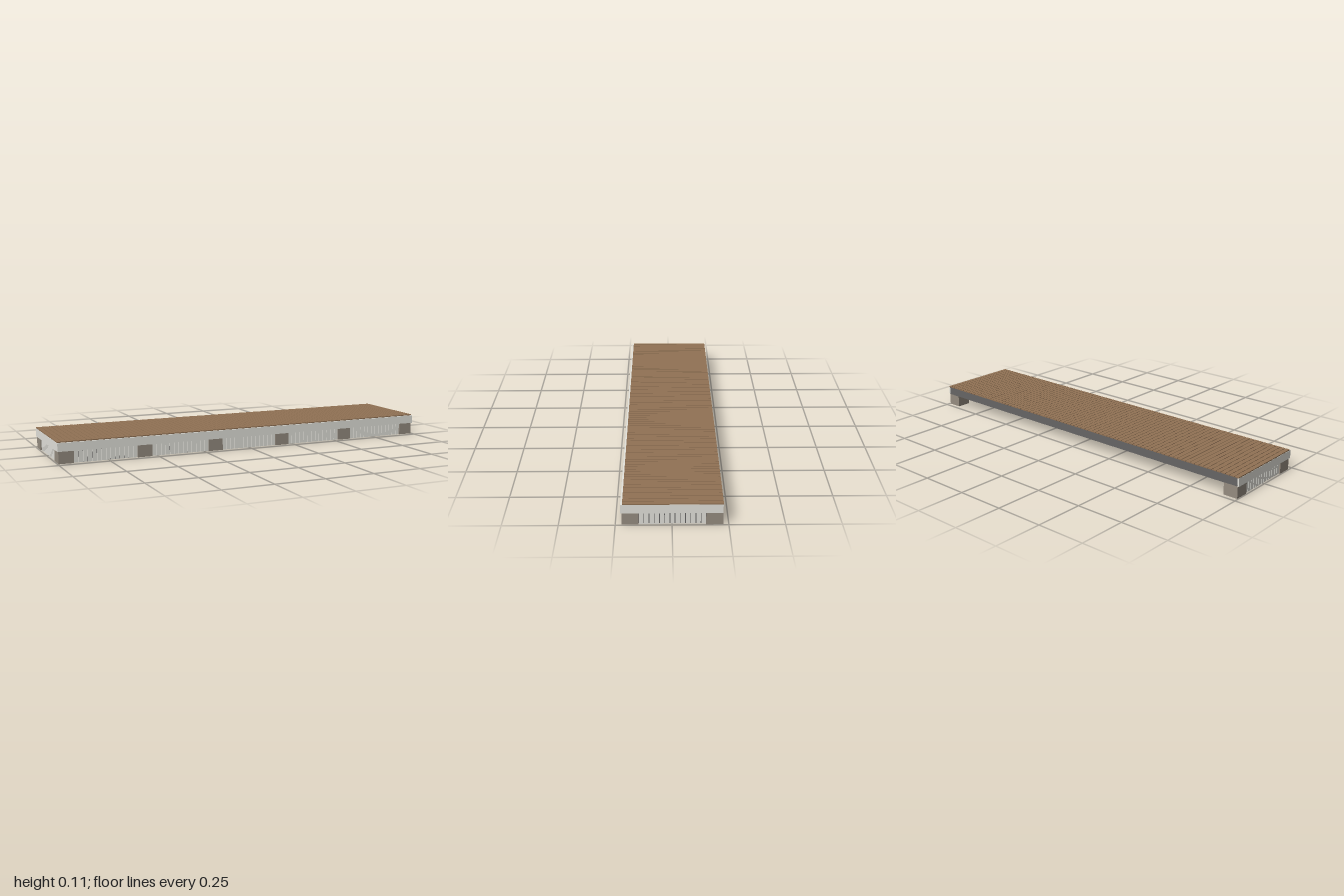
import * as THREE from 'three';

const mat = (name, color) => {
  const m = new THREE.MeshStandardMaterial({ color });
  m.name = name;
  return m;
};

export function createModel() {
  const deck = new THREE.Group();
  deck.name = 'deck';
  const wood = mat('deck wood', 0x917254);
  const trim = mat('pale trim', 0xe3e2db);
  const stone = mat('post stone', 0x958c80);
  const grey = mat('dark grey', 0x666464);
  const black = mat('underlay black', 0x4a4a4a);

  // Box given by its minimum and maximum corners
  const box = (name, material, [x0, y0, z0], [x1, y1, z1], parent = deck) => {
    const mesh = new THREE.Mesh(new THREE.BoxGeometry(x1 - x0, y1 - y0, z1 - z0), material);
    mesh.position.set((x0 + x1) / 2, (y0 + y1) / 2, (z0 + z1) / 2);
    mesh.name = name;
    parent.add(mesh);
  };
  const group = (name) => {
    const g = new THREE.Group();
    g.name = name;
    deck.add(g);
    return g;
  };

  // Platform core and fascia boards
  box('underlay', black, [-0.992, 0.061, -0.218], [0.992, 0.102, 0.218]);
  box('frontFascia', trim, [-1, 0.06, 0.218], [1, 0.102, 0.2265]);
  box('leftFascia', trim, [0.992, 0.06, -0.225], [1, 0.102, 0.218]);
  box('rightFascia', trim, [-1, 0.06, -0.225], [-0.992, 0.102, 0.218]);
  box('backFascia', grey, [-0.992, 0.06, -0.2255], [0.992, 0.102, -0.218]);

  // Decking boards running front to back
  const boards = group('deckingBoards');
  const count = 81, pitch = 2 / count, boardGap = 0.0025;
  for (let i = 0; i < count; i++) {
    const x = -1 + i * pitch;
    box('deckingBoard', wood, [x + boardGap / 2, 0.102, -0.226],
      [x + pitch - boardGap / 2, 0.107, 0.218], boards);
  }

  // Support posts: six along the front, one at each back corner
  const posts = group('posts');
  const size = 0.075;
  const frontX = [-0.958, -0.565, -0.188, 0.188, 0.565, 0.958];
  const post = (x, z) =>
    box('post', stone, [x - size / 2, 0, z - size / 2], [x + size / 2, 0.061, z + size / 2], posts);
  frontX.forEach((x) => post(x, 0.1845));
  [-0.958, 0.958].forEach((x) => post(x, -0.188));

  // Skirting panel facing local +z, with pale slats on a lower dark backing
  const skirt = (name, width, slats, gap) => {
    const g = group(name);
    const step = width / slats;
    box('backing', grey, [-width / 2, 0, -0.012], [width / 2, 0.056, -0.006], g);
    for (let i = 0; i < slats; i++) {
      const x = -width / 2 + i * step;
      box('slat', trim, [x + gap / 2, 0.0005, -0.006], [x + step - gap / 2, 0.0605, 0], g);
    }
    return g;
  };

  // Front skirting between neighbouring posts
  for (let i = 0; i < frontX.length - 1; i++) {
    const width = frontX[i + 1] - frontX[i] - size;
    const panel = skirt('frontSkirt', width, Math.round(width / 0.023), 0.0025);
    panel.position.set((frontX[i] + frontX[i + 1]) / 2, 0, 0.218);
  }

  // End skirting
  for (const side of [-1, 1]) {
    const panel = skirt(side > 0 ? 'leftSkirt' : 'rightSkirt', 0.298, 13, 0.0035);
    panel.position.set(side * 0.99, 0, -0.002);
    panel.rotation.y = side * Math.PI / 2;
  }
  return deck;
}
